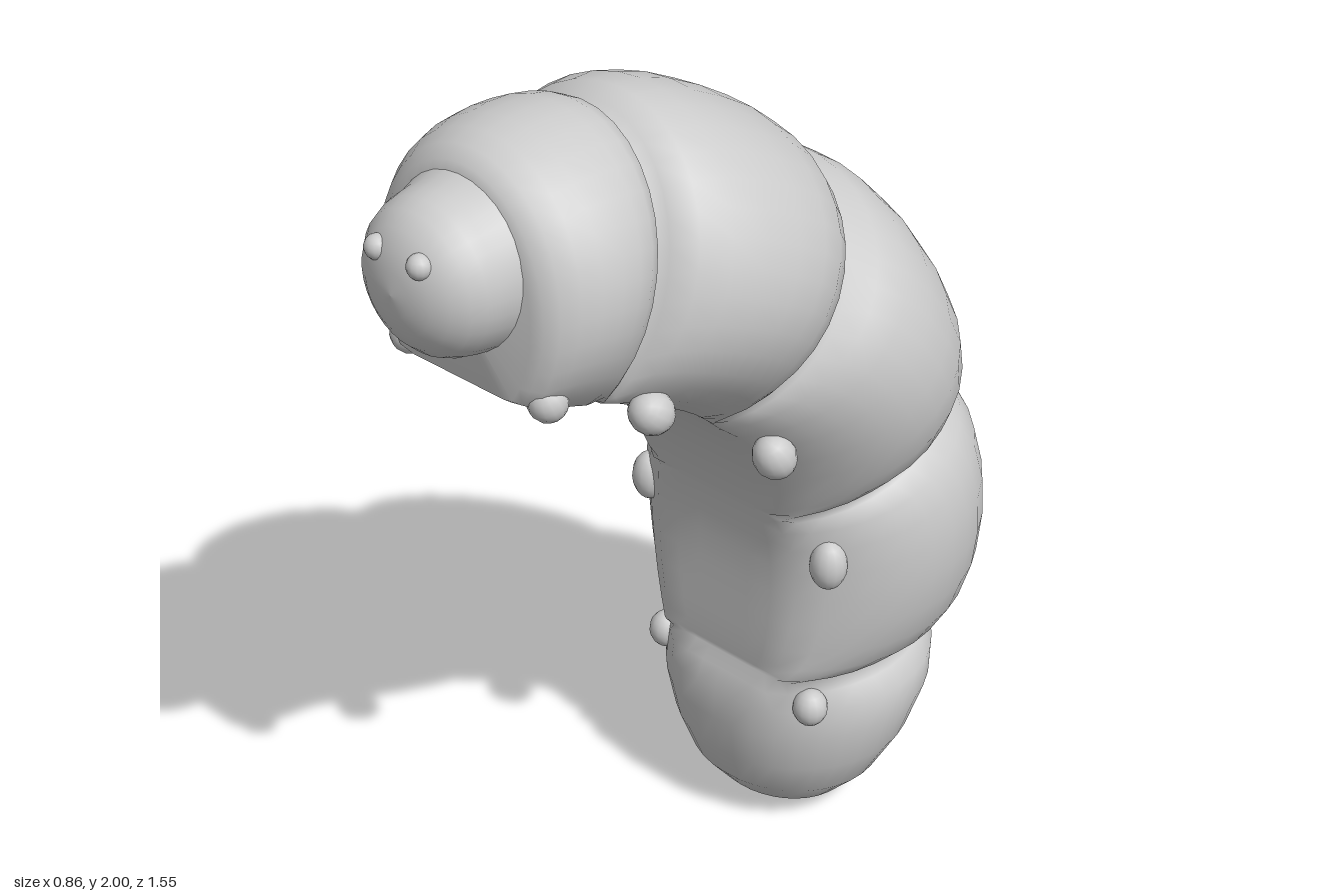
import * as THREE from 'three';

const SIDES = 36;
const STRIP = 0.185; // half width of the flat belly strip

// Each section: belly z, belly y, back z, back y, half width
const TAIL = [
  [-0.33, 0, -0.33, 0, 0.001],
  [-0.25, 0.012, -0.41, 0.008, 0.095],
  [-0.19, 0.05, -0.48, 0.045, 0.17],
  [-0.135, 0.12, -0.56, 0.12, 0.237],
  [-0.105, 0.21, -0.635, 0.23, 0.287],
  [-0.09, 0.31, -0.685, 0.34, 0.314],
  [-0.095, 0.39, -0.70, 0.40, 0.308],
  [-0.11, 0.44, -0.69, 0.435, 0.28],
];
// Grooves between the body segments
const GROOVES = [
  [-0.125, 0.475, -0.66, 0.445, 0.24],
  [-0.095, 0.93, -0.60, 1.115, 0.29],
  [0.12, 1.27, -0.23, 1.66, 0.285],
  [0.43, 1.45, 0.27, 1.93, 0.225],
  [0.625, 1.525, 0.60, 1.925, 0.19],
];
// How far each segment swells: back, width
const SWELL = [[0.142, 0.135], [0.14, 0.143], [0.115, 0.127], [0.075, 0.083]];

const swellAt = (t, power) => Math.sqrt(Math.max(0, 1 - Math.abs(2 * t - 1) ** power));

function bodySections() {
  const belly = new THREE.CatmullRomCurve3(GROOVES.map(g => new THREE.Vector3(0, g[1], g[0])));
  const rings = [...TAIL, GROOVES[0]];
  const steps = 10;
  SWELL.forEach(([back, side], s) => {
    const a = GROOVES[s], b = GROOVES[s + 1];
    for (let i = 1; i <= steps; i++) {
      const t = (1 - Math.cos(Math.PI * i / steps)) / 2;
      const mix = k => a[k] + (b[k] - a[k]) * t;
      const p = belly.getPoint((s + t) / SWELL.length);
      const dz = mix(2) - p.z, dy = mix(3) - p.y;
      const rise = swellAt(t, 2.4) * back / Math.hypot(dz, dy);
      rings.push([p.z, p.y, mix(2) + dz * rise, mix(3) + dy * rise,
        mix(4) + swellAt(t, 2) * side]);
    }
  });
  // Closing face behind the head
  rings.push([0.64, 1.72, 0.64, 1.721, 0.001]);
  return rings;
}

// Skin: round sections, cut flat by a belly strip that fades out on the tail
function bodyGeometry() {
  const pos = [], index = [];
  const rings = bodySections();
  rings.forEach(([bz, by, kz, ky, w], r) => {
    const strip = STRIP * Math.min(1, r / TAIL.length) ** 2;
    const flat = Math.sqrt(1 - Math.min(0.75, strip / w) ** 2);
    for (let j = 0; j < SIDES; j++) {
      const a = j / SIDES * Math.PI * 2;
      const f = Math.max(0, (flat + Math.cos(a)) / (flat + 1));
      pos.push(w * Math.sin(a), by + (ky - by) * f, bz + (kz - bz) * f);
      if (r < rings.length - 1) {
        const p = r * SIDES + j, q = r * SIDES + (j + 1) % SIDES;
        index.push(p, p + SIDES, q, q, p + SIDES, q + SIDES);
      }
    }
  });
  const g = new THREE.BufferGeometry();
  g.setAttribute('position', new THREE.Float32BufferAttribute(pos, 3));
  g.setIndex(index);
  g.computeVertexNormals();
  return g;
}

// Blunt dome that flares softly into the neck; radius, distance forward
function headGeometry() {
  const profile = [
    [0.185, 0.58], [0.174, 0.605], [0.166, 0.63], [0.162, 0.655], [0.156, 0.68],
    [0.143, 0.71], [0.118, 0.737], [0.085, 0.757], [0.045, 0.769], [0, 0.773],
  ].map(([r, z]) => new THREE.Vector2(r, z));
  return new THREE.LatheGeometry(profile, 32).rotateX(Math.PI / 2);
}

export function createModel() {
  const model = new THREE.Group();
  const mat = new THREE.MeshStandardMaterial({ color: 0xcccccc });
  const add = (name, geo, x = 0, y = 0, z = 0) => {
    const m = new THREE.Mesh(geo, mat);
    m.name = name;
    m.position.set(x, y, z);
    model.add(m);
    return m;
  };

  add('segmentedBody', bodyGeometry());
  add('head', headGeometry(), 0, 1.755, 0);

  // Stubby feet: x, y, z, radius, length, forward tilt
  const feet = [
    [0.22, 0.41, -0.17, 0.04, 0.045, 0],
    [0.262, 0.82, -0.165, 0.042, 0.06, 0],
    [0.262, 1.18, 0.02, 0.046, 0.055, 0.5],
    [0.24, 1.425, 0.355, 0.045, 0.05, 0.9],
    [0.187, 1.525, 0.575, 0.04, 0.042, 0.4],
  ];
  for (const side of [-1, 1]) {
    const label = side > 0 ? 'left' : 'right';
    feet.forEach(([x, y, z, r, l, tilt], i) => {
      const foot = add(`${label}Foot${i + 1}`, new THREE.SphereGeometry(1, 14, 10), side * x, y, z);
      foot.scale.set(r, l, r);
      foot.rotation.x = tilt;
    });
    add(`${label}Eye`, new THREE.SphereGeometry(0.025, 14, 10), side * 0.056, 1.825, 0.749);
  }
  return model;
}
